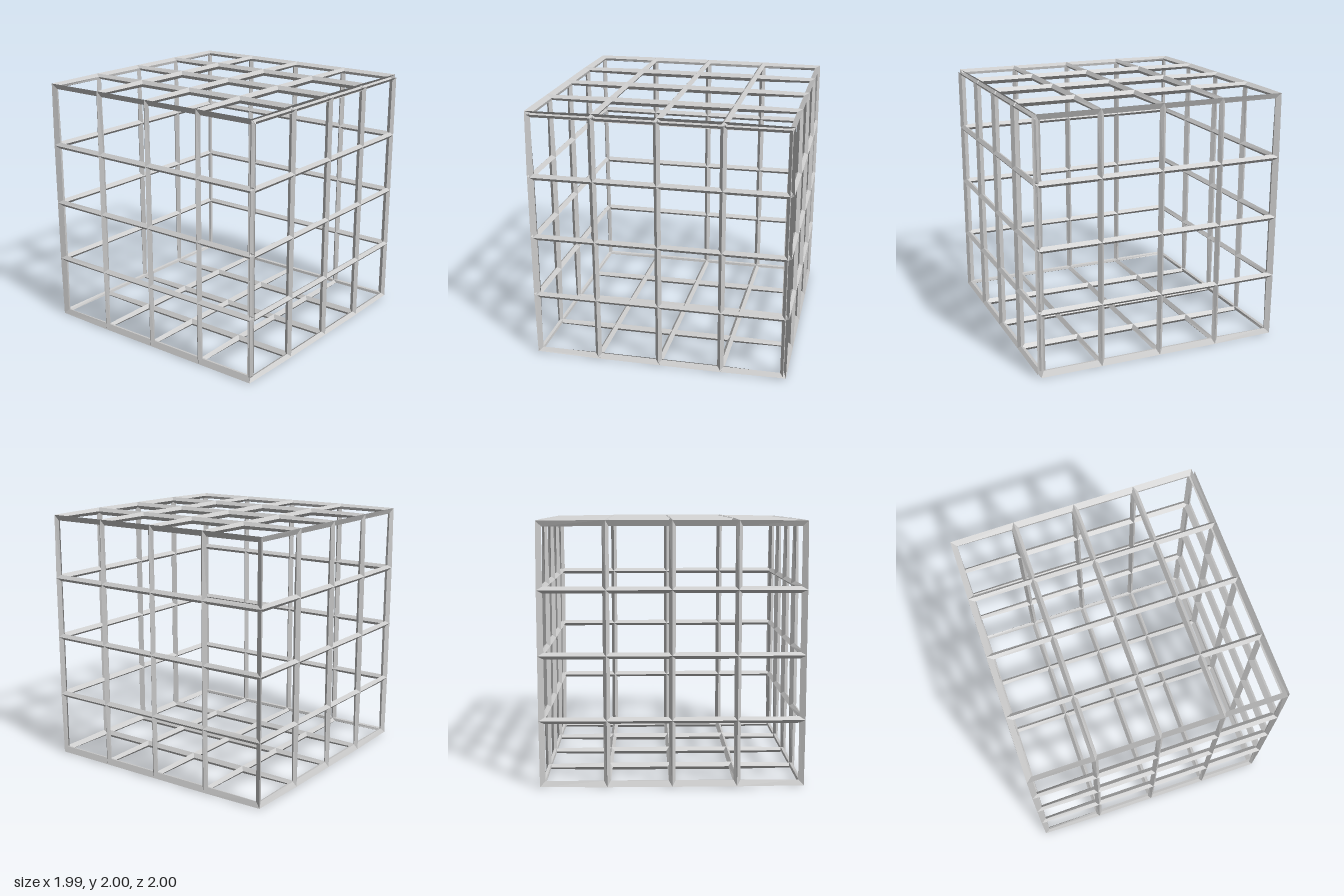
import * as THREE from 'three';

const H = 0.972;    // half size of the cage at the bar centre lines
const CELLS = 4;    // cells along each side
const W = 0.025;    // half width of a bar
const SHELL = { rise: 0.028, drop: 0.03 };   // ridge heights of the five joined panels
const LOOSE = { rise: 0.022, drop: 0.038 };  // ridge heights of the separate left panel

// The bars along the rims of the shell and of the left panel are open
const material = new THREE.MeshStandardMaterial({
  color: 0xcccccc, flatShading: true, side: THREE.DoubleSide,
});

// Direction in which the bar ridges are raised at a lattice node.
// The five joined panels share bevelled corners; the left panel stands alone.
function ridgeDirection(p, isLeft) {
  if (isLeft) return new THREE.Vector3(1, 0, 0);
  const on = (c) => (Math.abs(c) > H - 1e-4 ? Math.sign(c) : 0);
  return new THREE.Vector3(Math.min(on(p.x), 0), on(p.y), on(p.z)).normalize();
}

// One square lattice panel of diamond-section bars; u x v points outward.
function latticePanel(name, u, v) {
  const n = u.clone().cross(v);
  const isLeft = n.x > 0.5;
  const { rise, drop } = isLeft ? LOOSE : SHELL;
  const point = (s, t) => n.clone().multiplyScalar(H).addScaledVector(u, s).addScaledVector(v, t);
  const positions = [];
  const quad = (a, b, c, d) => {
    for (const p of [a, b, c, a, c, d]) positions.push(p.x, p.y, p.z);
  };
  const step = (2 * H) / CELLS;
  const signs = [[-1, -1], [1, -1], [1, 1], [-1, 1]];

  for (let i = 0; i < CELLS; i++) {
    for (let j = 0; j < CELLS; j++) {
      const s = -H + (i + 0.5) * step;
      const t = -H + (j + 0.5) * step;
      const corners = signs.map(([a, b]) => {
        const p = point(s + (a * step) / 2, t + (b * step) / 2);
        const dir = ridgeDirection(p, isLeft);
        return {
          outer: p.clone().addScaledVector(dir, rise),
          inner: p.clone().addScaledVector(dir, -drop),
          inset: point(s + a * (step / 2 - W), t + b * (step / 2 - W)),
        };
      });
      // Each cell edge carries the near half of its bar: an outer and an inner slope
      corners.forEach((a, k) => {
        const b = corners[(k + 1) % 4];
        quad(a.outer, b.outer, b.inset, a.inset);
        quad(b.inner, a.inner, a.inset, b.inset);
      });
    }
  }

  const geometry = new THREE.BufferGeometry();
  geometry.setAttribute('position', new THREE.Float32BufferAttribute(positions, 3));
  geometry.computeVertexNormals();
  const mesh = new THREE.Mesh(geometry, material);
  mesh.name = name;
  return mesh;
}

export function createModel() {
  const cage = new THREE.Group();
  cage.name = 'latticeCage';
  const X = new THREE.Vector3(1, 0, 0);
  const Y = new THREE.Vector3(0, 1, 0);
  const Z = new THREE.Vector3(0, 0, 1);
  const panels = [
    ['frontPanel', X, Y], ['backPanel', Y, X],
    ['leftPanel', Y, Z], ['rightPanel', Z, Y],
    ['topPanel', Z, X], ['bottomPanel', X, Z],
  ];
  for (const [name, u, v] of panels) cage.add(latticePanel(name, u, v));
  cage.position.set(0.003, H + SHELL.rise, 0);

  const model = new THREE.Group();
  model.name = 'model';
  model.add(cage);
  return model;
}
